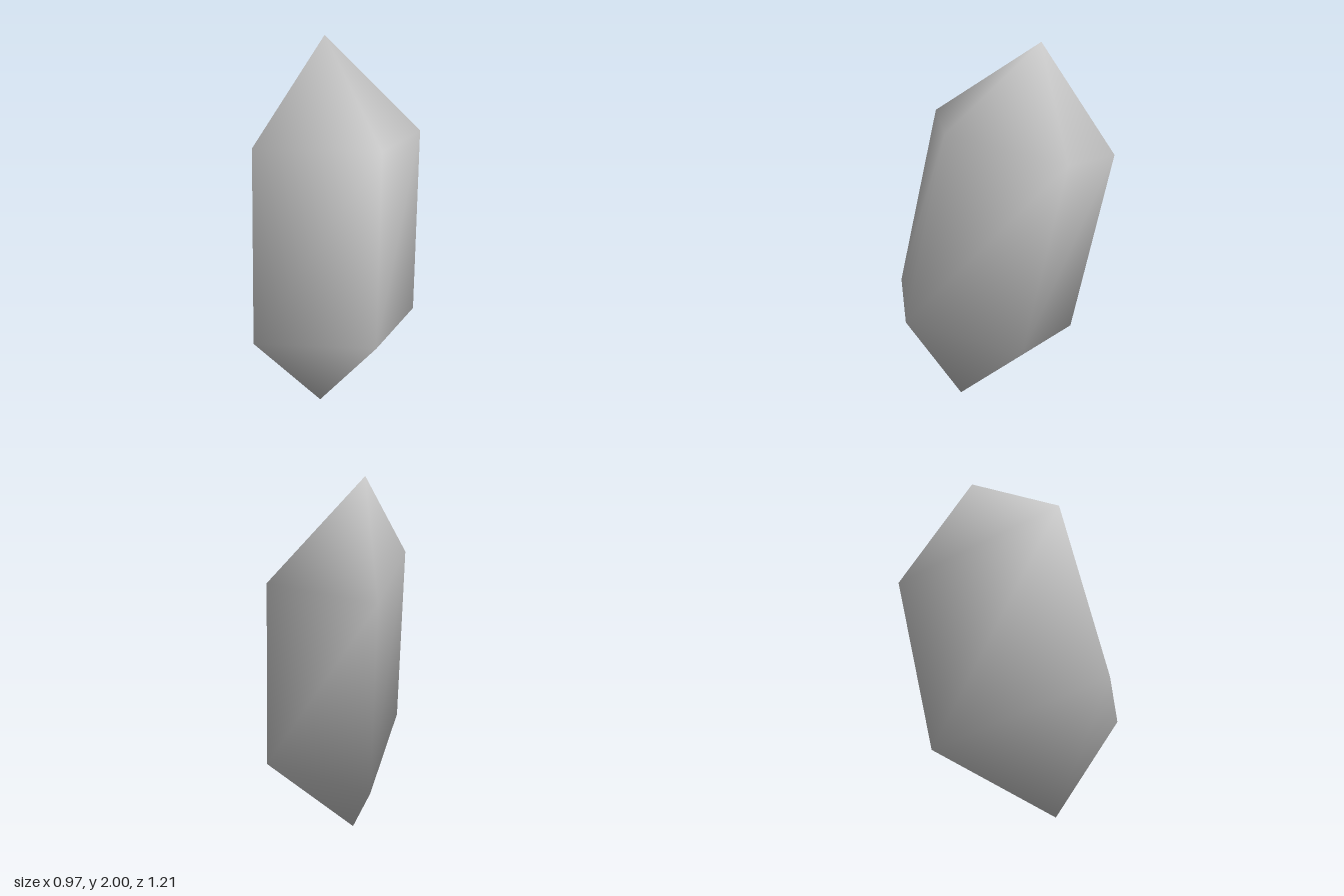
import * as THREE from 'three';

// Tilted crystal: a five-sided prism with pointed ends and one corner sheared flat.
export function createModel() {
  const group = new THREE.Group();
  const stone = new THREE.MeshStandardMaterial({ color: 0xcccccc });
  stone.name = 'paleGreyStone';

  const radius = 0.5375, prismHalf = 0.512, tipHalf = 1.025;
  const startAngle = THREE.MathUtils.degToRad(137.3);
  const step = (Math.PI * 2) / 5;
  const corners = 4; // the fifth corner is cut away

  const positions = [], normals = [], index = [];
  const addVertex = (x, y, z, nx, ny, nz) => {
    positions.push(x, y, z);
    normals.push(nx, ny, nz);
  };

  // lower and upper rings, with softly rounded normals
  for (const side of [-1, 1]) {
    for (let i = 0; i < corners; i++) {
      const a = startAngle - i * step;
      const c = Math.cos(a), s = Math.sin(a);
      addVertex(radius * c, side * prismHalf, radius * s, 0.933 * c, side * 0.36, 0.933 * s);
    }
  }
  // bottom and top tips
  const bottom = corners * 2, top = bottom + 1;
  addVertex(0, -tipHalf, 0, 0, -1, 0);
  addVertex(0, tipHalf, 0, 0, 1, 0);

  // side panels and the facets of both points
  for (let i = 0; i < corners; i++) {
    const j = (i + 1) % corners;
    const ui = i + corners, uj = j + corners;
    index.push(i, j, uj, i, uj, ui);
    index.push(ui, uj, top);
    index.push(j, i, bottom);
  }

  const geometry = new THREE.BufferGeometry();
  geometry.setAttribute('position', new THREE.Float32BufferAttribute(positions, 3));
  geometry.setAttribute('normal', new THREE.Float32BufferAttribute(normals, 3));
  geometry.setIndex(index);

  // lean the crystal back
  const crystal = new THREE.Mesh(geometry, stone);
  crystal.name = 'crystal';
  crystal.quaternion.setFromUnitVectors(
    new THREE.Vector3(0, 1, 0),
    new THREE.Vector3(0.045, 1, -0.22).normalize()
  );
  crystal.position.set(-0.075, 1, 0.02);
  group.add(crystal);
  return group;
}
